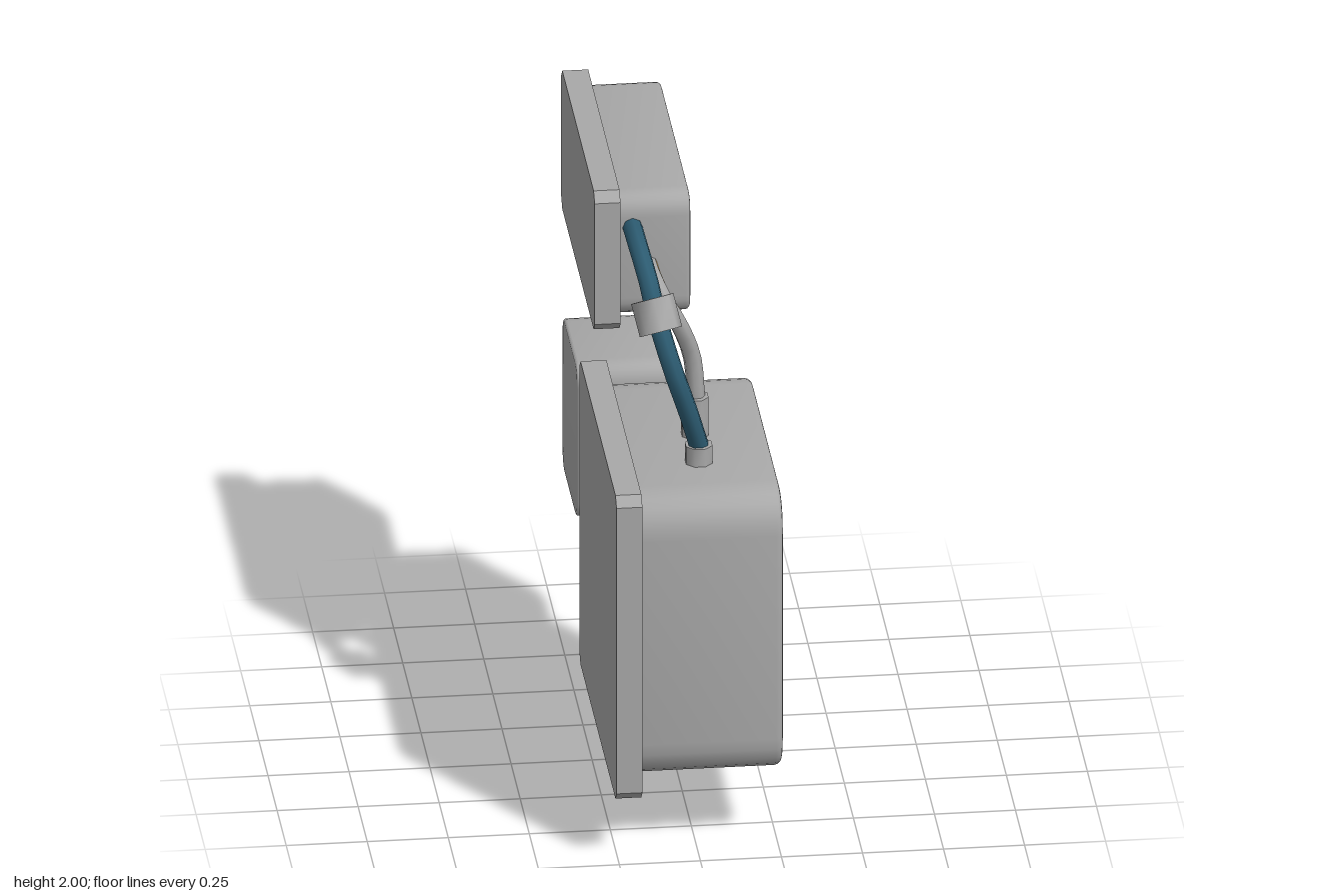
import * as THREE from 'three';
import { toCreasedNormals } from 'three/addons/utils/BufferGeometryUtils.js';

const mat = (name, color, side = THREE.FrontSide) => {
  const m = new THREE.MeshStandardMaterial({ color, side });
  m.name = name;
  return m;
};

export function createModel() {
  const model = new THREE.Group();
  model.name = 'wallBoxes';
  const grey = mat('casingGrey', 0xa8a8a8);
  const blue = mat('cableBlue', 0x2d5c72);
  const yellow = mat('cableYellow', 0xd0a34e);
  const black = mat('cableBlack', 0x2d2d2d);

  const add = (name, geometry, material) => {
    const mesh = new THREE.Mesh(geometry, material);
    mesh.name = name;
    model.add(mesh);
    return mesh;
  };

  // Outline centred on the origin, corners cut straight or rounded
  const outline = (w, h, r, round) => {
    const s = new THREE.Shape();
    const corners = [[1, -1], [1, 1], [-1, 1], [-1, -1]];
    corners.forEach(([sx, sy], i) => {
      const X = sx * w / 2, Y = sy * h / 2;
      const a = [X - (sx === sy ? 0 : sx * r), Y - (sx === sy ? sy * r : 0)];
      const b = [X - (sx === sy ? sx * r : 0), Y - (sx === sy ? 0 : sy * r)];
      if (i === 0) s.moveTo(...a); else s.lineTo(...a);
      if (round) s.quadraticCurveTo(X, Y, ...b); else s.lineTo(...b);
    });
    s.closePath();
    return s;
  };

  // Slab spanning the given ranges, with its outline in the zy plane
  const slab = (name, [x0, x1], [y0, y1], [z0, z1], r, bevel) => {
    const shape = outline(z1 - z0 - 2 * bevel, y1 - y0 - 2 * bevel, r, bevel > 0);
    const g = new THREE.ExtrudeGeometry(shape, {
      depth: x1 - x0 - 2 * bevel, curveSegments: 6, bevelEnabled: bevel > 0,
      bevelSize: bevel, bevelThickness: bevel, bevelSegments: 3,
    });
    g.translate(0, 0, bevel).rotateY(Math.PI / 2);
    g.translate(x0, (y0 + y1) / 2, (z0 + z1) / 2);
    return add(name, toCreasedNormals(g, 0.6), grey);
  };

  // Casings and their back plates
  slab('largePlate', [-0.26, -0.18], [0.22, 1.25], [-0.26, 0.76], 0.03, 0);
  slab('largeBox', [-0.22, 0.26], [0.26, 1.21], [-0.23, 0.72], 0.11, 0.022);
  slab('upperPlate', [-0.26, -0.18], [1.53, 2.0], [-0.76, 0.16], 0.03, 0);
  slab('upperBox', [-0.22, 0.04], [1.56, 1.97], [-0.73, 0.13], 0.055, 0.015);
  slab('smallBox', [-0.26, 0.04], [0.66, 1.18], [-0.73, -0.32], 0.06, 0.008);

  // Small indicator on the side box
  const dot = add('indicator', new THREE.CylinderGeometry(0.017, 0.017, 0.006, 8), black);
  dot.rotation.z = -Math.PI / 2;
  dot.position.set(0.042, 0.78, -0.58);

  const tube = (points, radius, segments) => {
    const curve = new THREE.CatmullRomCurve3(points.map(p => new THREE.Vector3(...p)));
    return new THREE.TubeGeometry(curve, segments, radius, 8);
  };

  // Blue cable
  add('blueCable', tube([
    [-0.14, 1.87, 0.1], [-0.135, 1.86, 0.27], [-0.12, 1.81, 0.38], [-0.10, 1.71, 0.44],
    [-0.055, 1.55, 0.49], [-0.01, 1.41, 0.475], [0.035, 1.25, 0.43],
  ], 0.031, 12), blue);

  // Two-tone cable: yellow on the inside of the bend, grey outside
  const striped = tube([
    [-0.09, 1.74, 0.1], [-0.085, 1.735, 0.21], [-0.06, 1.69, 0.275], [-0.025, 1.63, 0.285],
    [0.03, 1.48, 0.245], [0.045, 1.32, 0.235],
  ], 0.028, 12);
  const inner = new THREE.Vector3(0.3, -0.4, -0.85);
  const sides = [[], []];
  const index = striped.index.array, normals = striped.attributes.normal;
  for (let i = 0; i < index.length; i += 6) {
    const quad = Array.from(index.slice(i, i + 6));
    const n = new THREE.Vector3();
    quad.forEach(k => n.add(new THREE.Vector3().fromBufferAttribute(normals, k)));
    sides[n.dot(inner) > 0 ? 1 : 0].push(...quad);
  }
  striped.setIndex([...sides[0], ...sides[1]]);
  striped.addGroup(0, sides[0].length, 0);
  striped.addGroup(sides[0].length, sides[1].length, 1);
  add('twoToneCable', striped, [grey, yellow]);

  // Black cable looping under to the small box
  add('blackCable', tube([
    [-0.06, 0.3, -0.04], [-0.045, 0.17, -0.06], [-0.015, 0.07, -0.13], [0, 0.035, -0.24],
    [-0.01, 0.075, -0.36], [-0.035, 0.18, -0.44], [-0.07, 0.36, -0.475], [-0.11, 0.68, -0.46],
  ], 0.033, 16), black);

  // Cable sockets on top of the large box
  for (const [name, x, z, top] of [['blueSocket', 0.03, 0.435, 1.27], ['twoToneSocket', 0.04, 0.238, 1.34]]) {
    const g = new THREE.CylinderGeometry(0.044, 0.044, top - 1.19, 8);
    g.rotateY(Math.PI / 8).translate(x, (top + 1.19) / 2, z);
    add(name, toCreasedNormals(g, 0.9), grey);
  }

  // Clamp around the blue cable
  const clamp = add('cableClamp',
    toCreasedNormals(new THREE.CylinderGeometry(0.067, 0.067, 0.105, 8), 0.9), grey);
  clamp.position.set(-0.1, 1.715, 0.437);
  clamp.quaternion.setFromUnitVectors(
    new THREE.Vector3(0, 1, 0), new THREE.Vector3(-0.2, 0.85, -0.42).normalize());

  return model;
}
